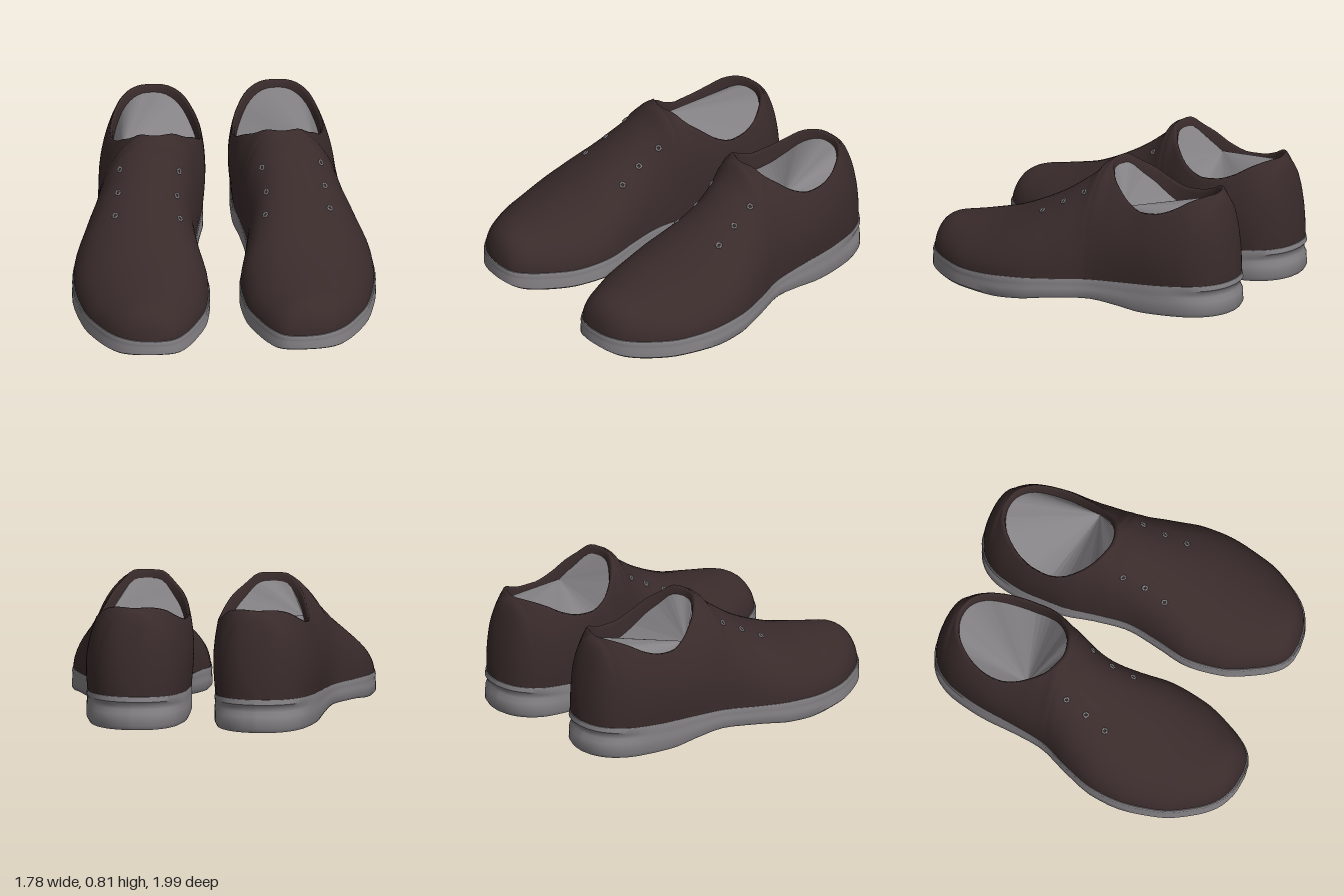
import * as THREE from 'three';
import { mergeVertices, mergeGeometries, toCreasedNormals } from 'three/addons/utils/BufferGeometryUtils.js';

// Smooth curve through [x, y] pairs without overshoot.
function curve(pts) {
  const n = pts.length;
  const slope = i => (pts[i + 1][1] - pts[i][1]) / (pts[i + 1][0] - pts[i][0]);
  const tangent = i => {
    if (i === 0) return slope(0);
    if (i === n - 1) return slope(n - 2);
    const a = slope(i - 1), b = slope(i);
    return a * b <= 0 ? 0 : (2 * a * b) / (a + b);
  };
  return x => {
    x = Math.min(Math.max(x, pts[0][0]), pts[n - 1][0]);
    let i = 0;
    while (i < n - 2 && x > pts[i + 1][0]) i++;
    const h = pts[i + 1][0] - pts[i][0], t = (x - pts[i][0]) / h, t2 = t * t, t3 = t2 * t;
    return (2 * t3 - 3 * t2 + 1) * pts[i][1] + (t3 - 2 * t2 + t) * h * tangent(i)
      + (3 * t2 - 2 * t3) * pts[i + 1][1] + (t3 - t2) * h * tangent(i + 1);
  };
}

// Plan outline of one shoe, as x over z
const outer = curve([[-1, 0.37], [-0.99, 0.445], [-0.95, 0.53], [-0.88, 0.595], [-0.8, 0.635], [-0.6, 0.68], [-0.4, 0.7],
  [-0.2, 0.73], [0, 0.815], [0.2, 0.88], [0.33, 0.89], [0.6, 0.845], [0.8, 0.745], [0.9, 0.66], [0.95, 0.575], [0.968, 0.51], [0.975, 0.43]]);
const inner = curve([[-1, 0.37], [-0.99, 0.295], [-0.95, 0.21], [-0.88, 0.145], [-0.8, 0.11], [-0.6, 0.08], [-0.4, 0.085],
  [-0.2, 0.12], [0, 0.147], [0.2, 0.12], [0.4, 0.086], [0.6, 0.11], [0.8, 0.195], [0.9, 0.26], [0.95, 0.315], [0.968, 0.36], [0.975, 0.43]]);
// Side profiles, as y over z
const soleTop = curve([[-1, 0.21], [-0.3, 0.17], [0.2, 0.15], [0.6, 0.125], [1, 0.14]]);
const soleBottom = curve([[-1, 0.012], [-0.55, 0.006], [-0.35, 0.03], [-0.2, 0.045], [0, 0.04], [0.2, 0.018], [0.4, 0.006],
  [0.7, 0.008], [0.9, 0.02], [1, 0.05]]);
const upperTop = curve([[-0.99, 0.2], [-0.984, 0.31], [-0.965, 0.47], [-0.935, 0.61], [-0.905, 0.69], [-0.87, 0.715], [-0.8, 0.695],
  [-0.7, 0.64], [-0.6, 0.607], [-0.5, 0.6], [-0.4, 0.635], [-0.3, 0.71], [-0.24, 0.755], [-0.18, 0.815], [-0.15, 0.805],
  [-0.1, 0.745], [0, 0.665], [0.1, 0.595], [0.3, 0.485], [0.5, 0.40], [0.7, 0.35], [0.85, 0.32], [0.91, 0.285], [0.95, 0.215], [0.965, 0.14]]);
// Sideways lean of the ridge towards the inside of the foot
const lean = curve([[-1, 0], [-0.6, -0.02], [-0.3, -0.05], [0, -0.065], [0.2, -0.07], [0.5, -0.045], [0.8, 0]]);

const BACK = -0.99, FRONT = 0.965, OPEN_BACK = -0.88, OPEN_FRONT = -0.17;

// Stations packed more tightly towards both ends
const eased = (a, b, n) => Array.from({ length: n + 1 }, (_, i) => a + (b - a) * (1 - Math.cos(Math.PI * i / n)) / 2);

// Half width of the foot opening at z
function openHalf(z) {
  const t = (z - (OPEN_BACK + OPEN_FRONT) / 2) / ((OPEN_FRONT - OPEN_BACK) / 2);
  return Math.abs(t) >= 1 ? 0 : 0.27 * Math.sqrt(1 - t * t);
}

// Point on the upper: t = 0 at the welt, 1 at the ridge or collar, where the arch is cut off
function upperPoint(z, t, side) {
  const zs = -1 + 1.975 * (z - BACK) / (FRONT - BACK);
  const c = (outer(zs) + inner(zs)) / 2, w = (outer(zs) - inner(zs)) / 2 * 0.982;
  const heel = THREE.MathUtils.smoothstep(-z, -0.15, 0.4);
  const power = 1 - 0.15 * heel;
  const cut = w > 0 ? Math.acos(Math.pow(Math.min(openHalf(z) / w, 0.92), 1 / power)) : Math.PI / 2;
  const rise = Math.sin(cut * t) / Math.sin(cut);
  const x = w * Math.pow(Math.max(0, Math.cos(cut * t)), power) + 0.06 * w * heel * Math.sin(Math.PI * t);
  const base = soleTop(z) - 0.012;
  return new THREE.Vector3(c + side * x + lean(z) * rise * rise, base + Math.max(0, upperTop(z) - base) * rise, z);
}

// Grid of points to a geometry
function surface(rows, flip) {
  const pos = [], index = [], n = rows[0].length;
  rows.forEach(r => r.forEach(p => pos.push(p.x, p.y, p.z)));
  for (let i = 0; i < rows.length - 1; i++) {
    for (let j = 0; j < n - 1; j++) {
      const a = i * n + j, b = a + 1, c = a + n, d = c + 1;
      if (flip) index.push(a, c, b, b, c, d);
      else index.push(a, b, c, b, d, c);
    }
  }
  const g = new THREE.BufferGeometry();
  g.setAttribute('position', new THREE.Float32BufferAttribute(pos, 3));
  g.setIndex(index);
  return g;
}

// Reflect a geometry across x = 0, keeping its faces outward
function mirrored(geometry) {
  const g = geometry.clone().scale(-1, 1, 1);
  const idx = g.index.array;
  for (let i = 0; i < idx.length; i += 3) [idx[i], idx[i + 1]] = [idx[i + 1], idx[i]];
  return g;
}

function smooth(parts) {
  const g = mergeVertices(mergeGeometries(parts), 1e-4);
  g.computeVertexNormals();
  return g;
}

// Collar edge as a closed loop, drawn in towards the middle, moved vertically and sunk at the sides
function collarLoop(inset, dy, sink) {
  const zs = eased(OPEN_BACK, OPEN_FRONT, 28);
  const loop = [...zs.map(z => upperPoint(z, 1, 1)), ...zs.slice(0, -1).reverse().map(z => upperPoint(z, 1, -1))];
  return loop.map(p => new THREE.Vector3(p.x + (0.365 - p.x) * inset,
    p.y + dy - sink * Math.pow((p.x - 0.365) / 0.27, 2), p.z + (-0.53 - p.z) * inset));
}

function upperGeometry(mirror) {
  const zs = [...eased(BACK, OPEN_BACK, 12), ...eased(OPEN_BACK, OPEN_FRONT, 28).slice(1), ...eased(OPEN_FRONT, FRONT, 36).slice(1)];
  const parts = [1, -1].map(side => surface(
    zs.map(z => Array.from({ length: 17 }, (_, j) => upperPoint(z, j / 16, side))), side < 0));
  const collar = [[0, 0, 0], [0.03, 0.006, 0], [0.065, -0.01, 0.01], [0.08, -0.045, 0.07]];
  parts.push(surface(collar.map(args => collarLoop(...args)), true));
  return smooth(mirror ? parts.map(mirrored) : parts);
}

// Lining: a faceted fan spread from one side of the collar
function liningGeometry(mirror) {
  const loop = collarLoop(0.075, -0.04, 0.065).slice(0, -1), n = loop.length, index = [];
  const pivot = loop.findIndex(p => p.z > -0.36);
  for (let k = 1; k < n - 1; k++) index.push(pivot, (pivot + k + 1) % n, (pivot + k) % n);
  const g = new THREE.BufferGeometry().setFromPoints(loop);
  g.setIndex(index);
  const flat = (mirror ? mirrored(g) : g).toNonIndexed();
  flat.computeVertexNormals();
  return flat;
}

// Sole: rings from the welt down to the tread, with a groove round the heel
function soleGeometry(mirror) {
  const zs = eased(-1, 0.975, 48);
  const point = (z, x, f, d) => {
    const c = (outer(z) + inner(z)) / 2, b = soleBottom(z);
    return new THREE.Vector3(c + (x - c) * (1 - 2.5 * d), b + (soleTop(z) - b) * f, z * (1 - d));
  };
  const levels = [[1, 0.06, 0], [1, 0.004, 0], [0.85, 0, 0], [0.74, 0.002, 1], [0.62, 0.002, 1], [0.48, 0, 0.2], [0.12, 0, 0], [0, 0.014, 0]];
  const rings = levels.map(([f, d, groove]) => {
    const inset = z => d + groove * 0.014 * THREE.MathUtils.smoothstep(-z, 0.68, 0.9);
    return [...zs.map(z => point(z, outer(z), f, inset(z))),
      ...[...zs].reverse().map(z => point(z, inner(z), f, inset(z)))];
  });
  rings.forEach(r => r.push(r[0].clone()));
  const last = rings[rings.length - 1], n = zs.length;
  const tread = surface([last.slice(0, n), last.slice(n, 2 * n).reverse()], false);
  const parts = [surface(rings, false), tread];
  return toCreasedNormals(mergeGeometries(mirror ? parts.map(mirrored) : parts), 0.75);
}

export function createModel() {
  const leather = new THREE.MeshStandardMaterial({ color: 0x3a2b2b });
  leather.name = 'dark brown leather';
  const rubber = new THREE.MeshStandardMaterial({ color: 0x858285 });
  rubber.name = 'grey rubber';

  const eyelet = new THREE.TorusGeometry(0.014, 0.006, 6, 10);
  const eyeletSpots = [[0.59, -0.09], [0.608, 0.04], [0.63, 0.17], [0.243, -0.07], [0.262, 0.06], [0.25, 0.19]];

  const model = new THREE.Group();
  model.name = 'pairOfShoes';
  for (const mirror of [false, true]) {
    const shoe = new THREE.Group();
    shoe.name = mirror ? 'rightShoe' : 'leftShoe';
    const add = (geometry, material, name) => {
      const mesh = new THREE.Mesh(geometry, material);
      mesh.name = name;
      shoe.add(mesh);
      return mesh;
    };
    add(upperGeometry(mirror), leather, 'upper');
    add(liningGeometry(mirror), rubber, 'lining');
    add(soleGeometry(mirror), rubber, 'sole');

    // Lace eyelets, lying on the upper
    for (const [x, z] of eyeletSpots) {
      const side = x > 0.45 ? 1 : -1;
      let t = 0.1;
      while (t < 0.95 && side * (upperPoint(z, t, side).x - x) > 0) t += 0.003;
      const p = upperPoint(z, t, side);
      const across = upperPoint(z, t + 0.02, side).sub(p), along = upperPoint(z + 0.01, t, side).sub(p);
      const normal = across.cross(along).multiplyScalar(side).normalize();
      if (mirror) { p.x *= -1; normal.x *= -1; }
      const ring = add(eyelet, rubber, 'eyelet');
      ring.position.copy(p).addScaledVector(normal, 0.002);
      ring.quaternion.setFromUnitVectors(new THREE.Vector3(0, 0, 1), normal);
    }
    shoe.position.z = mirror ? 0.015 : 0;
    model.add(shoe);
  }
  return model;
}
